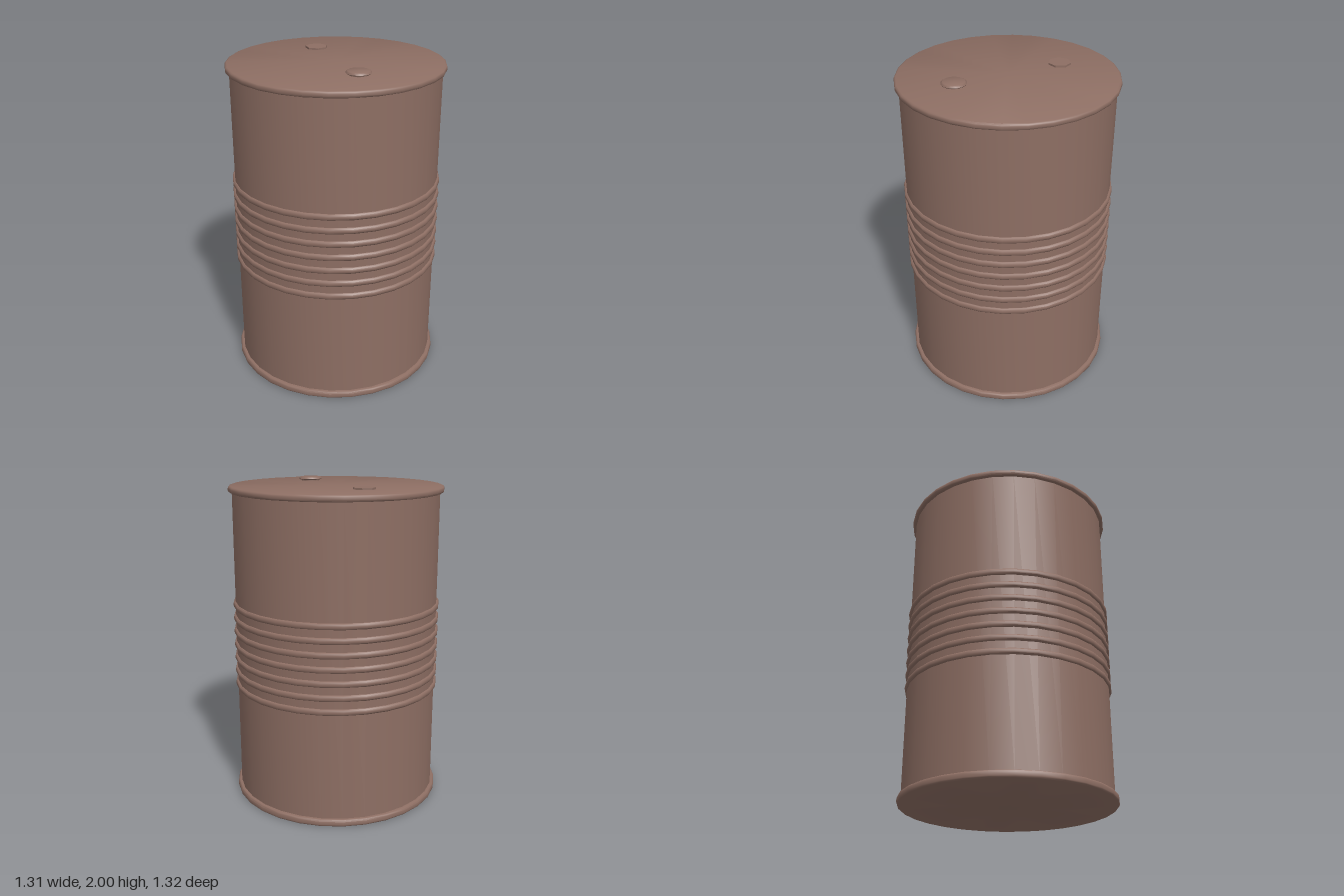
import * as THREE from 'three';
import { toCreasedNormals } from 'three/addons/utils/BufferGeometryUtils.js';

const SIDES = 30;
const BODY_R = 0.637;

// Turned part: [radius, height] pairs listed from bottom to top
function turned(name, profile, material, sides = SIDES, crease = 0.6, phase = 0) {
  const points = profile.map(([r, y]) => new THREE.Vector2(r, y));
  const geometry = toCreasedNormals(new THREE.LatheGeometry(points, sides, phase), crease);
  const mesh = new THREE.Mesh(geometry, material);
  mesh.name = name;
  return mesh;
}

export function createModel() {
  const drum = new THREE.Group();
  drum.name = 'drum';
  const brown = new THREE.MeshStandardMaterial({ color: 0x8d6e63 });
  brown.name = 'brown paint';

  // Straight wall
  drum.add(turned('wall', [[BODY_R, 0.02], [BODY_R, 1.96]], brown));

  // Closed ends with rounded rims
  drum.add(turned('bottomRim', [
    [0, 0], [0.652, 0], [0.658, 0.005], [0.66, 0.012],
    [0.66, 0.032], [0.657, 0.04], [0.65, 0.044], [BODY_R - 0.01, 0.044],
  ], brown, SIDES, 0.9));
  drum.add(turned('topLid', [
    [BODY_R - 0.01, 1.937], [0.65, 1.937], [0.657, 1.941], [0.66, 1.948],
    [0.66, 1.962], [0.657, 1.97], [0.648, 1.975], [0, 1.975],
  ], brown, SIDES, 0.9));

  // Seven rounded ribs around the middle
  const ribs = new THREE.Group();
  ribs.name = 'ribs';
  for (let i = 0; i < 7; i++) {
    const rib = turned('rib', [
      [BODY_R - 0.005, -0.019], [0.645, -0.018], [0.65, -0.011],
      [0.651, 0], [0.65, 0.011], [0.645, 0.018], [BODY_R - 0.005, 0.019],
    ], brown, SIDES, 0.9);
    rib.position.y = 0.73 + i * 0.0858;
    ribs.add(rib);
  }
  drum.add(ribs);

  // Round filler cap on a narrower neck
  const fillerCap = turned('fillerCap', [
    [0.056, -0.005], [0.056, 0.006], [0.072, 0.009], [0.075, 0.013],
    [0.073, 0.019], [0.064, 0.025], [0, 0.025],
  ], brown, 24, 0.7);
  fillerCap.position.set(0.007, 1.975, 0.345);
  drum.add(fillerCap);

  // Seven-sided vent plug
  const ventPlug = turned('ventPlug', [
    [0.069, -0.005], [0.069, 0.011], [0, 0.011],
  ], brown, 7, 0.3, Math.PI / 2);
  ventPlug.position.set(0, 1.975, -0.346);
  drum.add(ventPlug);

  return drum;
}
